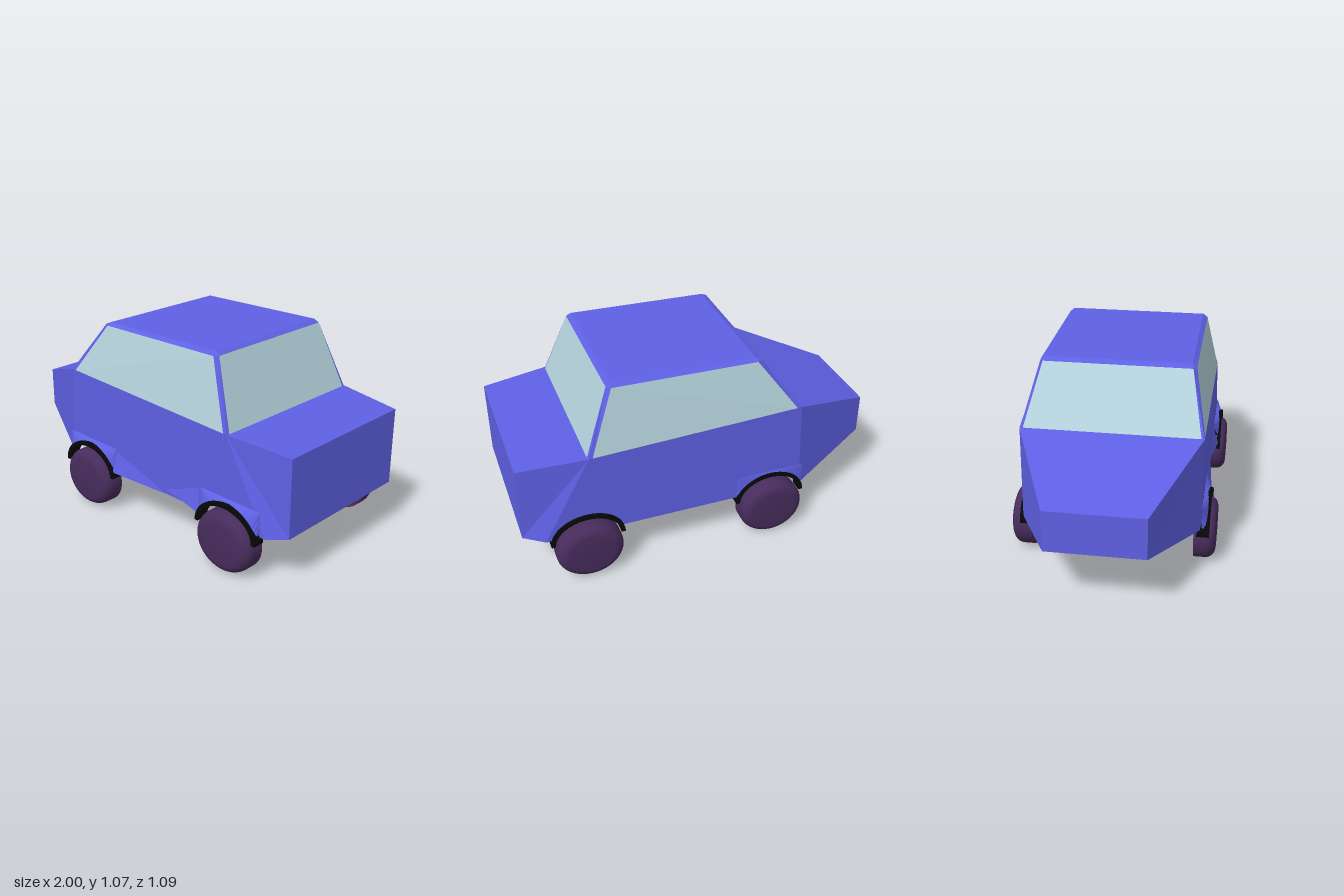
import * as THREE from 'three';
import { toCreasedNormals } from 'three/addons/utils/BufferGeometryUtils.js';

const mat = (color) => new THREE.MeshStandardMaterial({ color });
const W = 0.467;                    // half width of the body
const ARCH_Y = 0.21;                // centre height of the wheel arches
const AXLES = [-0.35, 0.67];

// Flat panels: every triangle is turned to face away from the car's centre.
function panels(name, material, polygons) {
  const centre = new THREE.Vector3(0, 0.5, 0);
  const pos = [];
  for (const poly of polygons) {
    const p = poly.map((v) => new THREE.Vector3(...v));
    for (let i = 1; i < p.length - 1; i++) {
      const tri = [p[0], p[i], p[i + 1]];
      const n = new THREE.Vector3().subVectors(tri[1], tri[0])
        .cross(new THREE.Vector3().subVectors(tri[2], tri[0]));
      if (n.dot(tri[0].clone().sub(centre)) < 0) tri.reverse();
      tri.forEach((v) => pos.push(v.x, v.y, v.z));
    }
  }
  const geo = new THREE.BufferGeometry();
  geo.setAttribute('position', new THREE.Float32BufferAttribute(pos, 3));
  geo.computeVertexNormals();
  const mesh = new THREE.Mesh(geo, material);
  mesh.name = name;
  return mesh;
}

const flip = (poly) => poly.map(([x, y, z]) => [x, y, -z]);
const both = (polys) => [...polys, ...polys.map(flip)];
// Panel spanning the car from an edge and its mirror image
const across = (a, b) => [a, b, ...flip([b, a])];

// Middle side panel with the wheel openings cut out of its lower edge
function sidePolygons() {
  const s = new THREE.Shape();
  s.moveTo(-0.51, 0.75);
  s.lineTo(-0.53, 0.245);
  for (const cx of AXLES) {
    for (let i = 0; i <= 20; i++) {
      const a = Math.PI - 0.243 - (i / 20) * (Math.PI - 0.486);
      s.lineTo(cx + 0.183 * Math.cos(a), ARCH_Y + 0.145 * Math.sin(a));
    }
  }
  s.lineTo(0.89, 0.245);
  s.lineTo(0.64, 0.706);
  const g = new THREE.ShapeGeometry(s).toNonIndexed().attributes.position;
  const tris = [];
  for (let i = 0; i < g.count; i += 3) {
    tris.push([0, 1, 2].map((k) => [g.getX(i + k), g.getY(i + k), W]));
  }
  return tris;
}

// Flared skin from a boxy outline on the body to the arch lip
function flarePolygons(cx, lipZ, from, to) {
  const at = (i) => {
    const a = 0.2 + (i / 18) * (Math.PI - 0.4);
    const c = Math.cos(a), s = Math.sin(a);
    return [
      [cx + 0.185 * c, ARCH_Y + 0.15 * s, lipZ],
      [cx + 0.193 * THREE.MathUtils.clamp(c * 1.6, -1, 1), Math.min(0.375, ARCH_Y + 0.28 * s), W + 0.002],
    ];
  };
  const polys = [];
  for (let i = from; i < to; i++) {
    const [a, b] = at(i), [d, c] = at(i + 1);
    polys.push([a, b, c, d]);
  }
  return polys;
}

// Black half-ring over a wheel
function archGeometry() {
  const s = new THREE.Shape();
  s.absellipse(0, 0, 0.197, 0.155, 0, Math.PI, false);
  s.lineTo(-0.175, 0);
  s.absellipse(0, 0, 0.175, 0.132, Math.PI, 0, true);
  s.closePath();
  const g = new THREE.ExtrudeGeometry(s, { depth: 0.065, bevelEnabled: false, curveSegments: 24 });
  return toCreasedNormals(g, 0.6);
}

// Tyre: flat inner face, rounded outer shoulder
function wheelGeometry() {
  const pts = [[0, 0], [0.16, 0], [0.16, 0.06]];
  for (let i = 1; i <= 7; i++) {
    const a = (i / 7) * Math.PI / 2;
    pts.push([0.107 + 0.053 * Math.cos(a), 0.06 + 0.053 * Math.sin(a)]);
  }
  pts.push([0, 0.116]);
  const g = new THREE.LatheGeometry(pts.map((p) => new THREE.Vector2(...p)), 40);
  g.rotateX(Math.PI / 2);
  g.scale(1.115, 1, 1);
  return toCreasedNormals(g, 0.7);
}

export function createModel() {
  const car = new THREE.Group();
  car.name = 'car';
  const blue = mat(0x5f60e4), glass = mat(0xb4d2dc), black = mat(0x080808), tyre = mat(0x472c5c);

  // Lower body corners on the left side
  const noseTop = [-1, 0.57, 0.25], noseLow = [-1, 0.35, 0.25];
  const hoodEnd = [-0.51, 0.75, W], frontLow = [-0.53, 0.245, W];
  const deckStart = [0.64, 0.706, W], rearLow = [0.89, 0.245, W];
  const tailTop = [1, 0.682, 0.418], tailLow = [1, 0.268, 0.418];

  car.add(panels('bodySides', blue, both([
    ...sidePolygons(),
    [noseLow, noseTop, hoodEnd, frontLow],
    [tailLow, tailTop, deckStart, rearLow],
  ])));
  car.add(panels('nose', blue, [across(noseTop, noseLow)]));
  car.add(panels('hood', blue, [across(noseTop, hoodEnd)]));
  car.add(panels('rearDeck', blue, [across(deckStart, tailTop)]));
  car.add(panels('tail', blue, [across(tailTop, tailLow)]));
  car.add(panels('underside', black, [
    across(noseLow, frontLow), across(frontLow, rearLow), across(rearLow, tailLow),
  ]));

  // Cabin corners on the left side
  const wsLow = [-0.51, 0.75, 0.45], wsTop = [-0.303, 1.035, 0.385];
  const rwLow = [0.645, 0.706, 0.45], rwTop = [0.515, 1.048, 0.385];
  const sgFrontLow = [-0.485, 0.749, W], sgFrontTop = [-0.275, 1.034, 0.402];
  const sgRearLow = [0.62, 0.707, W], sgRearTop = [0.493, 1.046, 0.402];
  const roofFront = [-0.27, 1.05, 0.378], roofRear = [0.49, 1.065, 0.378];

  car.add(panels('windshield', glass, [across(wsLow, wsTop)]));
  car.add(panels('rearWindow', glass, [across(rwLow, rwTop)]));
  car.add(panels('sideWindows', glass, both([[sgFrontLow, sgRearLow, sgRearTop, sgFrontTop]])));
  car.add(panels('roof', blue, [
    across(roofFront, roofRear), across(roofFront, wsTop), across(roofRear, rwTop),
    ...both([
      [roofFront, roofRear, sgRearTop, sgFrontTop],
      [roofFront, wsTop, sgFrontTop],
      [roofRear, rwTop, sgRearTop],
    ]),
  ]));
  car.add(panels('pillars', blue, both([
    [wsTop, wsLow, hoodEnd, sgFrontLow, sgFrontTop],
    [rwTop, rwLow, deckStart, sgRearLow, sgRearTop],
  ])));

  // Flared fenders, wider on the left side, with fairings into the sill
  car.add(panels('leftFenders', blue, [
    ...flarePolygons(-0.35, 0.5, 0, 18),
    ...flarePolygons(0.67, 0.5, 0, 18),
    [[-0.16, 0.36, W], [-0.165, 0.245, 0.5], [0.23, 0.245, W + 0.002]],
    [[0.46, 0.36, W], [0.485, 0.245, 0.5], [0.23, 0.275, W + 0.002]],
  ]));
  car.add(panels('rightFrontFender', blue, flarePolygons(-0.35, 0.476, 0, 18).map(flip)));

  // Wheels and their arches
  const wheelGeo = wheelGeometry(), archGeo = archGeometry();
  for (const [end, x] of [['front', AXLES[0]], ['rear', AXLES[1]]]) {
    for (const [side, s] of [['Left', 1], ['Right', -1]]) {
      const wheel = new THREE.Mesh(wheelGeo, tyre);
      wheel.name = `${end}${side}Wheel`;
      wheel.position.set(x, 0.16, s * 0.429);
      if (s < 0) wheel.rotation.y = Math.PI;
      car.add(wheel);

      const arch = new THREE.Mesh(archGeo, black);
      arch.name = `${end}${side}Arch`;
      arch.position.set(x, ARCH_Y, s > 0 ? 0.445 : -0.482);
      car.add(arch);
    }
  }
  return car;
}
